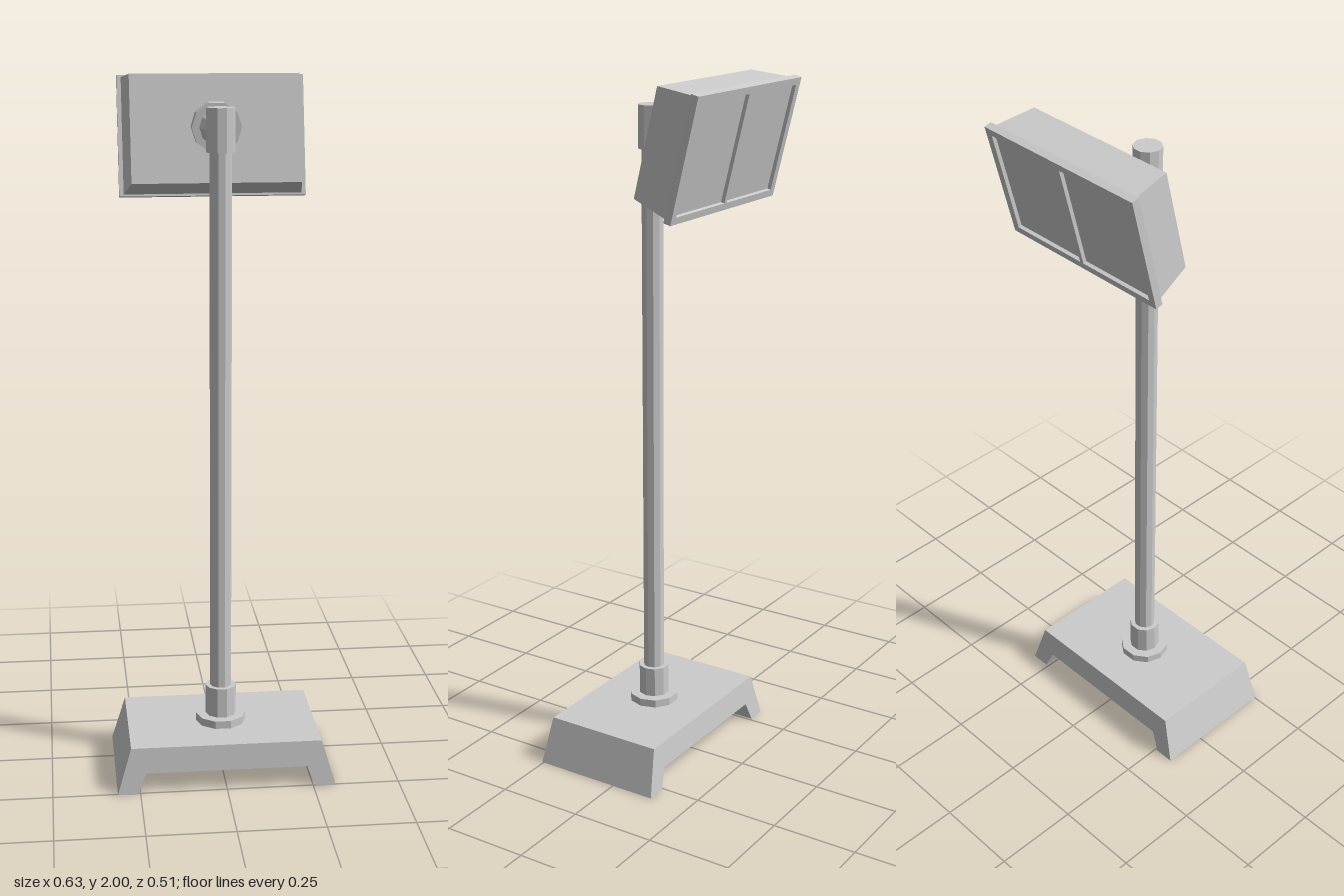
import * as THREE from 'three';

const SIDES = 10;
const POLE_Z = 0.063;

function material() {
  return new THREE.MeshStandardMaterial({ color: 0xcccccc, flatShading: true });
}

function addMesh(parent, name, geometry, x = 0, y = 0, z = 0) {
  const mesh = new THREE.Mesh(geometry, material());
  mesh.name = name;
  mesh.position.set(x, y, z);
  parent.add(mesh);
  return mesh;
}

// Ten-sided cylinder with a flat facing the front
function facetedCylinder(rTop, rBottom, height) {
  return new THREE.CylinderGeometry(rTop, rBottom, height, SIDES).rotateY(Math.PI / SIDES);
}

// Upright round part between two heights on the pole axis
function addUpright(parent, name, radius, y0, y1) {
  addMesh(parent, name, facetedCylinder(radius, radius, y1 - y0), 0, (y0 + y1) / 2, POLE_Z);
}

// Round part lying along z
function addHorizontal(parent, name, rFront, rBack, zFront, zBack, y) {
  const geometry = facetedCylinder(rFront, rBack, zFront - zBack).rotateX(Math.PI / 2);
  addMesh(parent, name, geometry, 0, y, (zFront + zBack) / 2);
}

function rectangle(target, x0, y0, x1, y1) {
  target.moveTo(x0, y0);
  target.lineTo(x1, y0);
  target.lineTo(x1, y1);
  target.lineTo(x0, y1);
  target.closePath();
  return target;
}

// Bridge-shaped foot whose front and back lean in towards the top
function baseGeometry() {
  const height = 0.135;
  const outline = [
    [-0.315, 0], [-0.258, 0], [-0.232, 0.06], [0.232, 0.06],
    [0.258, 0], [0.315, 0], [0.275, height], [-0.275, height],
  ].map(([x, y]) => new THREE.Vector2(x, y));
  const geometry = new THREE.ExtrudeGeometry(new THREE.Shape(outline), { depth: 1, bevelEnabled: false });
  const p = geometry.attributes.position;
  for (let i = 0; i < p.count; i++) {
    const t = p.getY(i) / height;
    const front = 0.255 - 0.015 * t;
    const back = -0.132 + 0.015 * t;
    p.setZ(i, p.getZ(i) > 0.5 ? front : back);
  }
  geometry.computeVertexNormals();
  return geometry;
}

// Housing that widens from its closed side towards the screen
function housingGeometry(depth) {
  const geometry = new THREE.BoxGeometry(2, 2, depth).translate(0, 0, -depth / 2);
  const p = geometry.attributes.position;
  for (let i = 0; i < p.count; i++) {
    const closedSide = p.getZ(i) > -depth / 2;
    p.setX(i, p.getX(i) * (closedSide ? 0.238 : 0.255));
    p.setY(i, p.getY(i) * (closedSide ? 0.152 : 0.166));
  }
  geometry.computeVertexNormals();
  return geometry;
}

// Frame with two openings and a central bar
function bezelGeometry(depth) {
  const shape = rectangle(new THREE.Shape(), -0.267, -0.172, 0.267, 0.172);
  for (const [x0, x1] of [[-0.246, -0.006], [0.006, 0.246]]) {
    shape.holes.push(rectangle(new THREE.Path(), x0, -0.152, x1, 0.152));
  }
  return new THREE.ExtrudeGeometry(shape, { depth, bevelEnabled: false });
}

export function createModel() {
  const model = new THREE.Group();
  model.name = 'displayStand';

  // Stand
  addMesh(model, 'base', baseGeometry());
  addUpright(model, 'poleFlange', 0.0735, 0.13, 0.158);
  addUpright(model, 'poleCollar', 0.045, 0.155, 0.247);
  addUpright(model, 'pole', 0.031, 0.2, 1.82);
  addUpright(model, 'poleCap', 0.04, 1.8, 1.92);

  // Arm from the pole cap to the screen
  addHorizontal(model, 'arm', 0.037, 0.05, 0.06, -0.045, 1.858);
  addHorizontal(model, 'mountDisc', 0.07, 0.07, -0.038, -0.1, 1.858);

  // Screen, leaning and facing the back
  const head = new THREE.Group();
  head.name = 'screenHead';
  head.position.set(0, 1.853, -0.0725);
  head.rotation.x = -0.245;
  model.add(head);
  addMesh(head, 'housing', housingGeometry(0.12), 0, 0, 0);
  addMesh(head, 'bezel', bezelGeometry(0.022), 0, 0, -0.141);
  for (const side of [-1, 1]) {
    addMesh(head, 'screenPanel', new THREE.BoxGeometry(0.24, 0.304, 0.012), side * 0.126, 0, -0.124);
  }

  return model;
}
